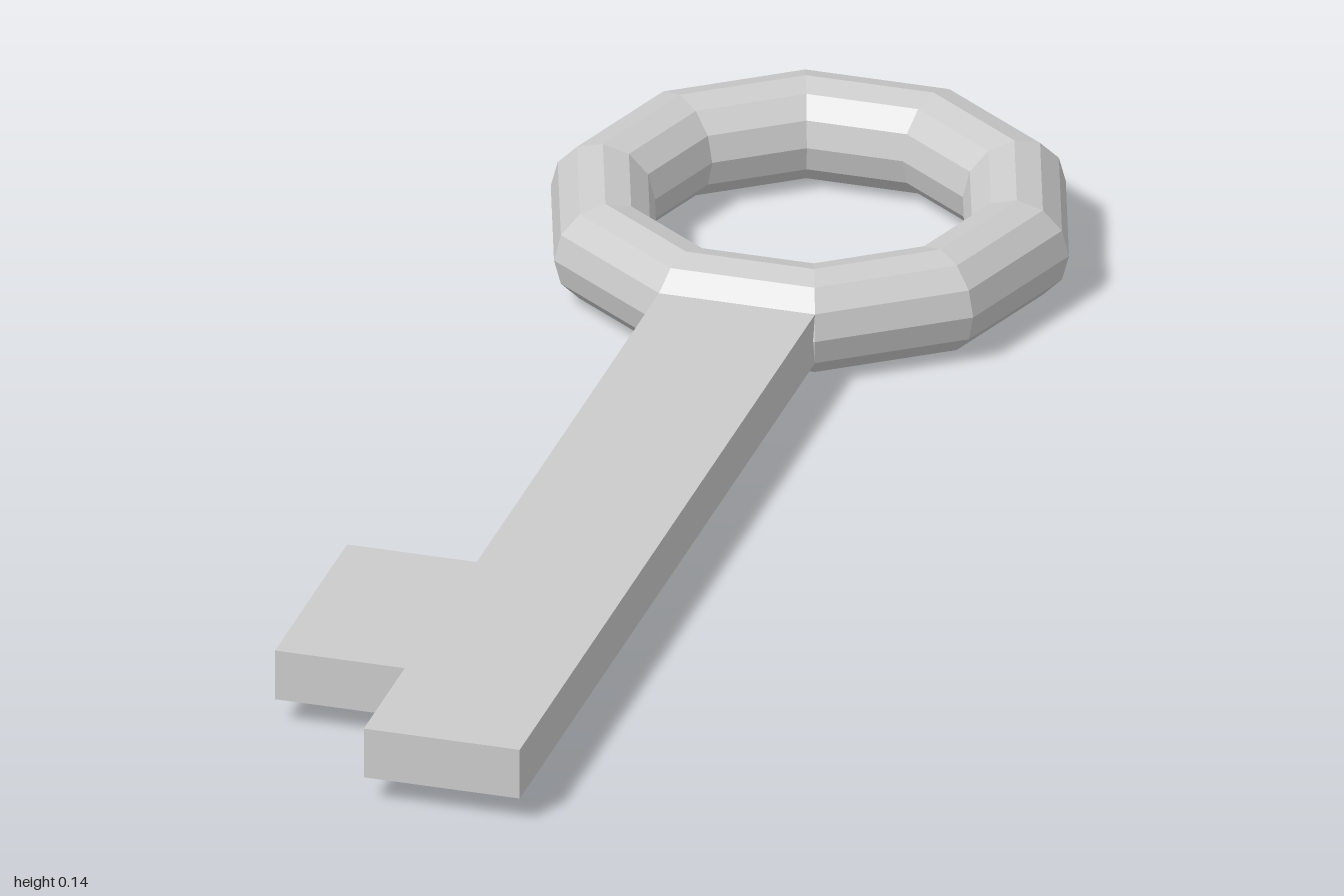
import * as THREE from 'three';

const TUBE = 0.0715;              // tube radius of the bow
const RING = 0.284;               // centre-line radius of the bow
const MID = TUBE;                 // height of the key's middle plane
const HALF = TUBE / 2;            // half thickness of the flat blade

export function createModel() {
  const group = new THREE.Group();
  group.name = 'key';
  const material = new THREE.MeshStandardMaterial({ color: 0xcccccc, flatShading: true });

  const add = (name, geometry) => {
    const mesh = new THREE.Mesh(geometry, material);
    mesh.name = name;
    group.add(mesh);
  };

  // Ten-sided ring to hold the key by, its back edge at z = -1
  const ringZ = -1 + (RING + TUBE) * Math.cos(Math.PI / 10);
  add('bow', new THREE.TorusGeometry(RING, TUBE, 12, 10)
    .rotateX(Math.PI / 2)
    .translate(0, MID, ringZ));

  // Flat shaft with one square tooth on its right, outlined in x and z
  const outline = new THREE.Shape([
    [-0.107, -0.332], [0.107, -0.332], [0.107, 1], [-0.107, 1],
    [-0.107, 0.815], [-0.285, 0.815], [-0.285, 0.49], [-0.107, 0.49],
  ].map(([x, z]) => new THREE.Vector2(x, z)));
  add('shaftAndBit', new THREE.ExtrudeGeometry(outline, { depth: 2 * HALF, bevelEnabled: false })
    .rotateX(Math.PI / 2)
    .translate(0, MID + HALF, 0));

  return group;
}
